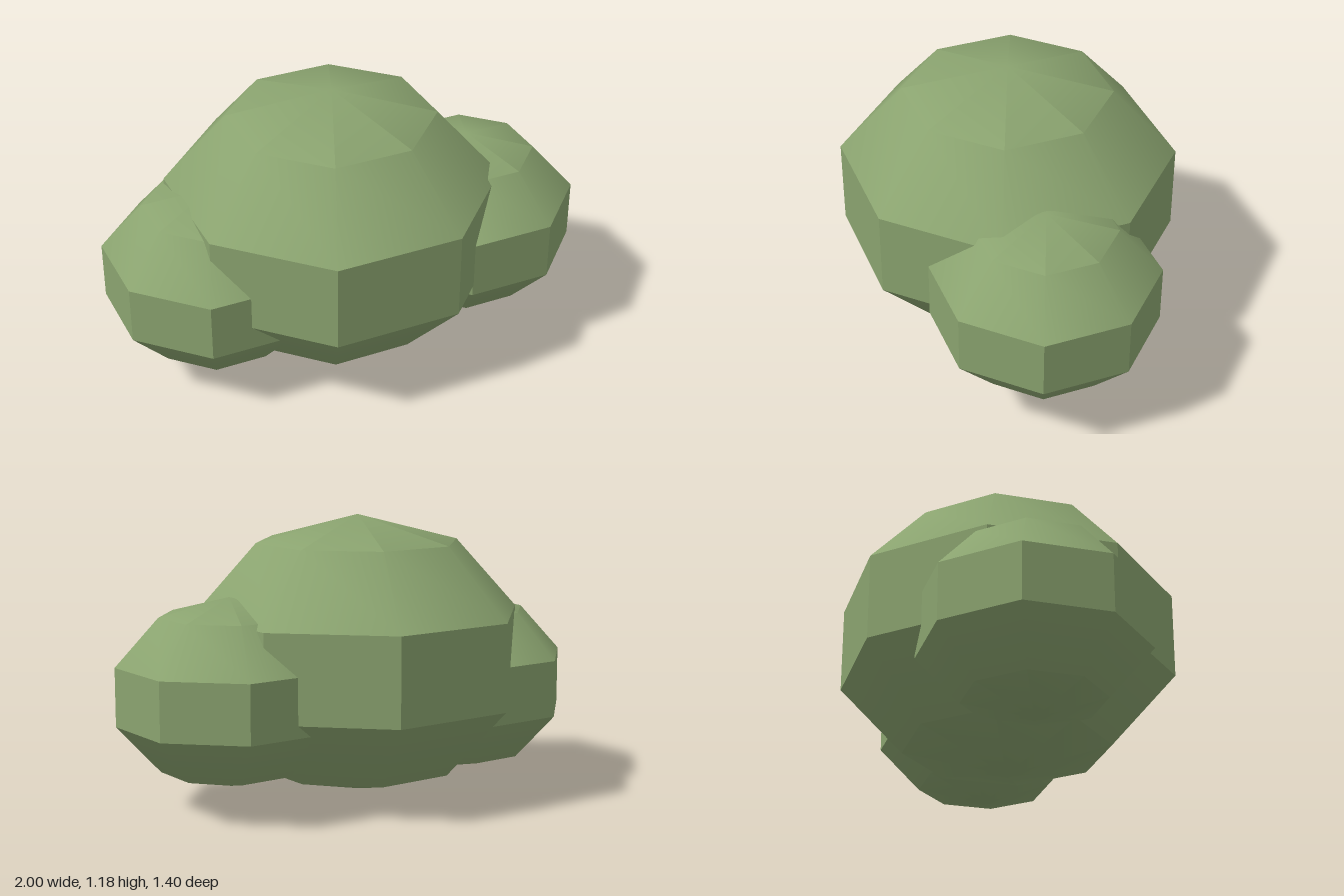
import * as THREE from 'three';
import { toCreasedNormals } from 'three/addons/utils/BufferGeometryUtils.js';

// Low-poly bush: three overlapping, slightly squashed eight-sided clumps
const SQUASH = 0.8;
const CREASE = THREE.MathUtils.degToRad(37); // smooth caps, faceted belt

const CLUMPS = [
  { name: 'mainClump', radius: 0.736, position: [-0.04, 0.59, 0] },
  { name: 'leftClump', radius: 0.489, position: [0.533, 0.479, -0.165] },
  { name: 'rightClump', radius: 0.489, position: [-0.535, 0.429, 0.16] },
];

export function createModel() {
  const group = new THREE.Group();
  group.name = 'bush';
  const leaves = new THREE.MeshStandardMaterial({ color: 0x8aa36f });

  for (const { name, radius, position } of CLUMPS) {
    const sphere = new THREE.SphereGeometry(radius, 8, 5).scale(1, SQUASH, 1);
    const clump = new THREE.Mesh(toCreasedNormals(sphere, CREASE), leaves);
    clump.name = name;
    clump.position.set(...position);
    group.add(clump);
  }
  return group;
}
